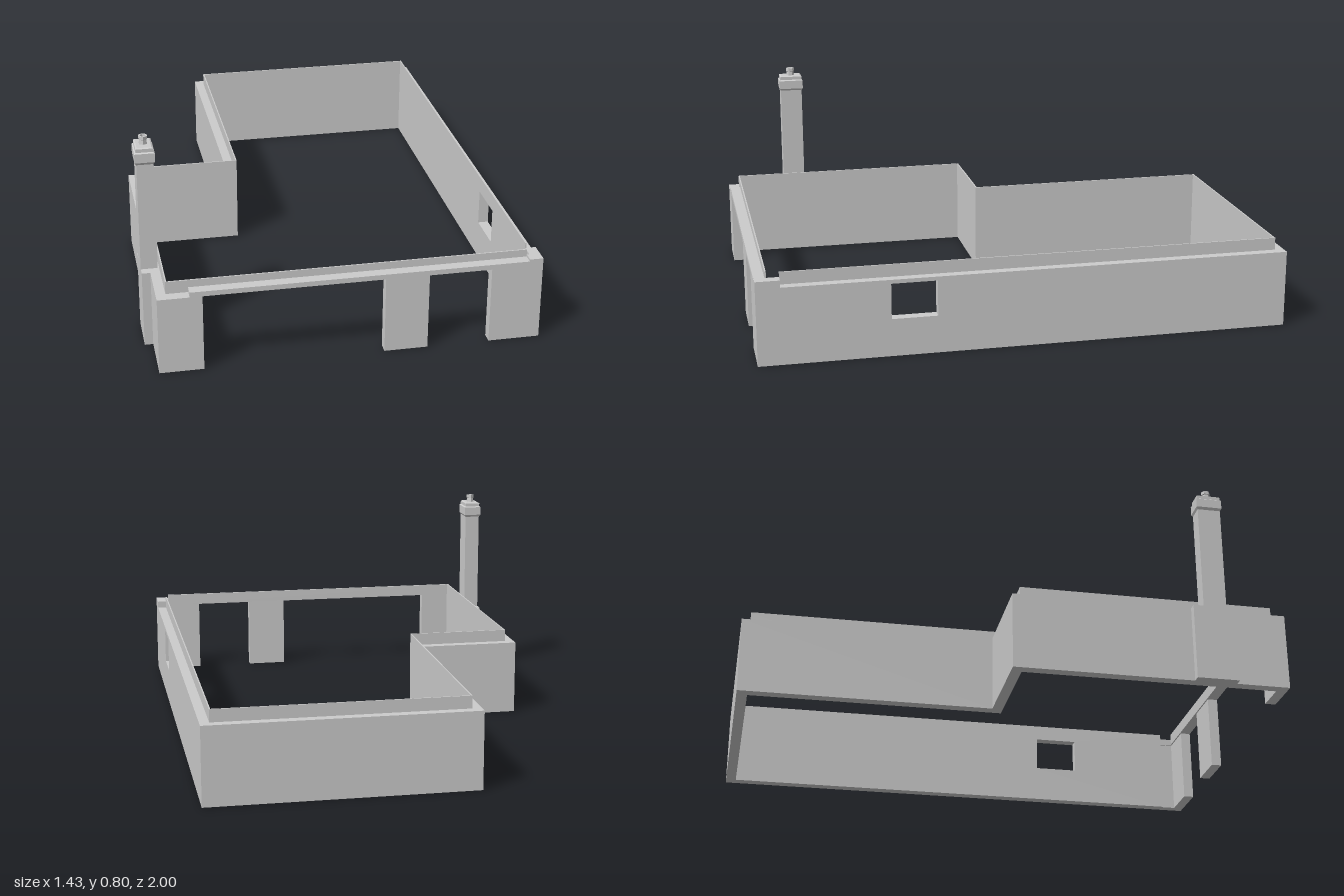
import * as THREE from 'three';

const mat = new THREE.MeshStandardMaterial({ color: 0xcccccc, flatShading: true, side: THREE.DoubleSide });

const WALL = 0.293; // ledge height
const LIP = 0.34; // top of the thin inner lining

export function createModel() {
  const model = new THREE.Group();

  const add = (name, geometry) => {
    const mesh = new THREE.Mesh(geometry, mat);
    mesh.name = name;
    model.add(mesh);
    return mesh;
  };

  // Box given by its limits on each axis
  const box = (name, [x0, x1], [y0, y1], [z0, z1]) =>
    add(name, new THREE.BoxGeometry(x1 - x0, y1 - y0, z1 - z0)
      .translate((x0 + x1) / 2, (y0 + y1) / 2, (z0 + z1) / 2));

  // Wall strip between two plan outlines of [x, z] points
  const strip = (name, outer, inner, height) => {
    const points = [...outer, ...[...inner].reverse()].map(([x, z]) => new THREE.Vector2(x, -z));
    const geometry = new THREE.ExtrudeGeometry(new THREE.Shape(points), { depth: height, bevelEnabled: false });
    return add(name, geometry.rotateX(-Math.PI / 2));
  };

  // Wall standing along z, with the window cut through it
  const windowWall = (name, [x0, x1], height, [z0, z1]) => {
    const rect = (Type, a0, a1, b0, b1) => new Type([[a0, b0], [a1, b0], [a1, b1], [a0, b1]]
      .map(([a, b]) => new THREE.Vector2(a, b)));
    const shape = rect(THREE.Shape, -z1, -z0, 0, height);
    shape.holes.push(rect(THREE.Path, -0.513, -0.342, 0.143, 0.278));
    const geometry = new THREE.ExtrudeGeometry(shape, { depth: x1 - x0, bevelEnabled: false });
    return add(name, geometry.rotateY(Math.PI / 2).translate(x0, 0, 0));
  };

  // Side and back walls around the notched plan, with their lining
  const outer = [[-0.68, 0.96], [-0.68, -0.04], [-0.285, -0.04], [-0.285, -1], [0.68, -1]];
  const middle = [[-0.645, 0.96], [-0.645, -0.005], [-0.25, -0.005], [-0.25, -0.965], [0.68, -0.965]];
  const inner = [[-0.64, 0.96], [-0.64, 0], [-0.245, 0], [-0.245, -0.96], [0.675, -0.96]];
  strip('outerWall', outer, middle, WALL);
  strip('wallLining', middle, inner, LIP);

  // Left wall with its window
  windowWall('windowWall', [0.68, 0.715], WALL, [-1, 0.96]);
  windowWall('windowWallLining', [0.675, 0.68], LIP, [-0.965, 0.91]);

  // Front piers between the wide openings
  for (const [x0, x1] of [[-0.68, -0.52], [0.135, 0.295], [0.525, 0.715]]) {
    box('frontPier', [x0, x1], [0, WALL], [0.96, 1]);
  }
  box('frontBeam', [-0.565, 0.665], [WALL, 0.312], [0.96, 1]);
  box('frontLip', [-0.645, 0.665], [WALL, LIP], [0.955, 0.96]);
  box('cornerBlock', [0.665, 0.715], [WALL, 0.32], [0.96, 1]);
  box('cornerBlockReturn', [0.675, 0.715], [WALL, 0.32], [0.91, 0.96]);

  // Chimney: breast, shaft, flared cap and pot
  const cx = -0.681, cz = 0.72;
  box('chimneyBreast', [-0.711, -0.68], [0, WALL], [0.637, 0.797]);
  box('chimneyShaft', [-0.711, -0.65], [WALL, 0.71], [0.676, 0.764]);

  // Four-sided cap built from rings of half-width, half-depth and height
  const rings = [[0.03, 0.044, 0.703], [0.036, 0.049, 0.712], [0.036, 0.049, 0.746],
    [0.031, 0.045, 0.75], [0.031, 0.045, 0.763], [0.026, 0.04, 0.766]];
  const corners = [[-1, 1], [1, 1], [1, -1], [-1, -1]];
  const positions = [], index = [];
  rings.forEach(([w, d, y], r) => corners.forEach(([sx, sz], i) => {
    positions.push(cx + sx * w, y, cz + sz * d);
    if (r === 0) return;
    const a = (r - 1) * 4 + i, b = (r - 1) * 4 + (i + 1) % 4;
    index.push(a, b, b + 4, a, b + 4, a + 4);
  }));
  const top = (rings.length - 1) * 4;
  index.push(top, top + 1, top + 2, top, top + 2, top + 3, 0, 2, 1, 0, 3, 2);
  const cap = new THREE.BufferGeometry();
  cap.setAttribute('position', new THREE.Float32BufferAttribute(positions, 3));
  cap.setIndex(index);
  const capGeometry = cap.toNonIndexed();
  capGeometry.computeVertexNormals();
  add('chimneyCap', capGeometry);

  // Small hollow pot with a rim
  const pot = [[0.016, 0.765], [0.014, 0.782], [0.017, 0.784], [0.017, 0.796], [0.011, 0.796], [0.011, 0.77], [0, 0.77]]
    .map(([r, y]) => new THREE.Vector2(r, y));
  add('chimneyPot', new THREE.LatheGeometry(pot, 6).translate(cx, 0, cz));

  return model;
}
